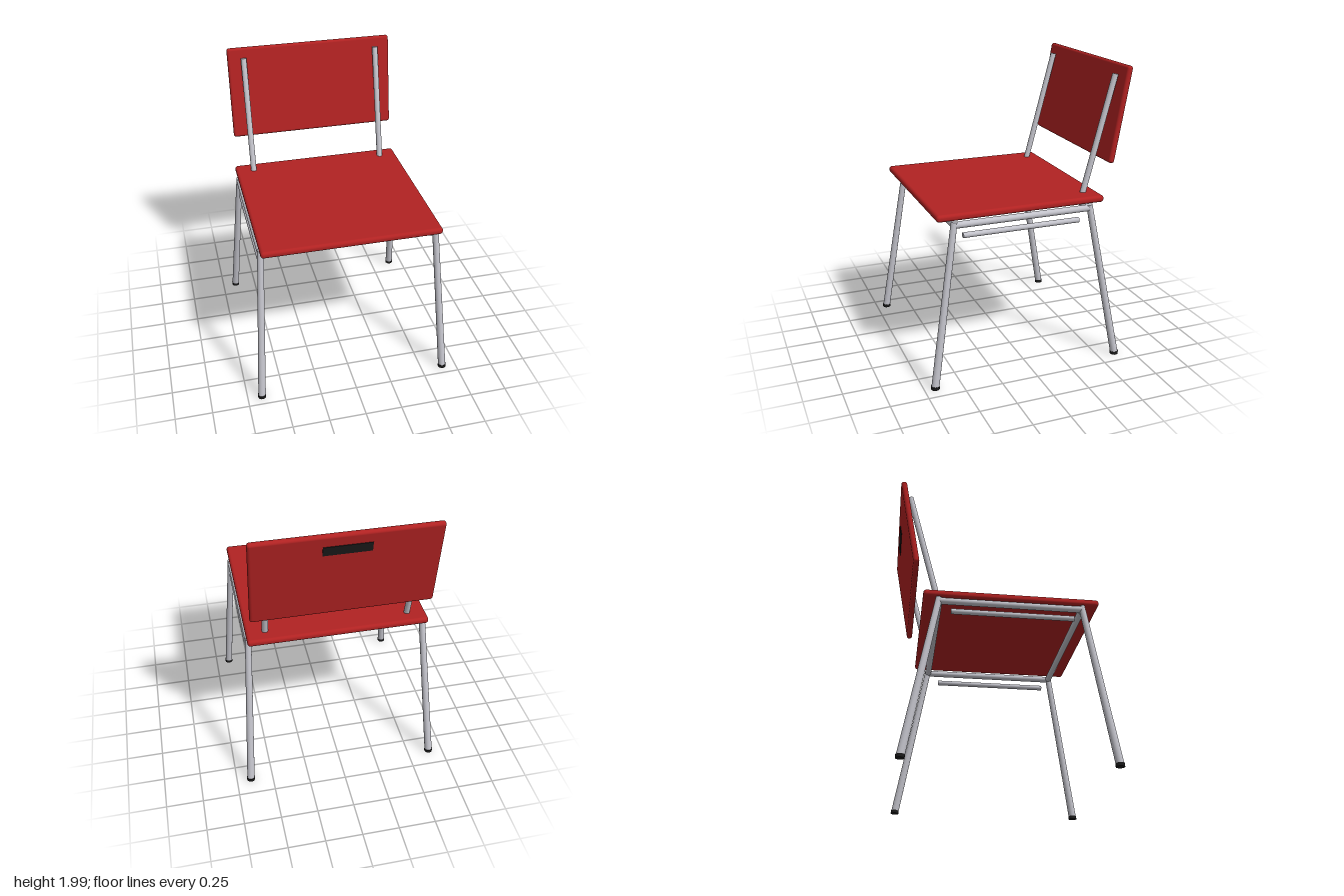
import * as THREE from 'three';
import { RoundedBoxGeometry } from 'three/addons/geometries/RoundedBoxGeometry.js';

const material = (name, color) => {
  const m = new THREE.MeshStandardMaterial({ color });
  m.name = name;
  return m;
};

export function createModel() {
  const red = material('red', 0xb22222);
  const metal = material('metal', 0xc4c4cc);
  const black = material('black', 0x1a1a1a);
  const chair = new THREE.Group();
  chair.name = 'chair';

  const add = (name, geometry, mat, parent = chair) => {
    const mesh = new THREE.Mesh(geometry, mat);
    mesh.name = name;
    parent.add(mesh);
    return mesh;
  };

  // Straight round bar between two points
  const bar = (name, from, to, rFrom, rTo = rFrom, mat = metal) => {
    const a = new THREE.Vector3(...from), b = new THREE.Vector3(...to);
    const dir = b.clone().sub(a);
    const mesh = add(name, new THREE.CylinderGeometry(rTo, rFrom, dir.length(), 20), mat);
    mesh.position.copy(a).add(b).multiplyScalar(0.5);
    mesh.quaternion.setFromUnitVectors(new THREE.Vector3(0, 1, 0), dir.normalize());
    return mesh;
  };

  // Seat panel
  add('seat', new RoundedBoxGeometry(1.2, 0.046, 1.15, 4, 0.02), red).position.set(0, 1.136, 0.05);

  // Tilted backrest with a dark grip on its rear face
  const back = new THREE.Group();
  back.name = 'backrest';
  back.position.set(0, 1.682, -0.632);
  back.rotation.x = -Math.PI / 18;
  chair.add(back);
  add('backPanel', new RoundedBoxGeometry(1.17, 0.64, 0.04, 4, 0.018), red, back);
  add('gripSlot', new THREE.BoxGeometry(0.3, 0.065, 0.008), black, back).position.set(0, 0.21, -0.02);

  const frontZ = 0.51, backZ = -0.423, railX = 0.585, railY = 1.083;
  for (const [side, s] of [['left', 1], ['right', -1]]) {
    // Splayed, tapered legs with black feet
    for (const [end, topZ, footZ] of [['Front', frontZ, 0.678], ['Back', backZ, -0.623]]) {
      const top = [s * railX, 1.105, topZ];
      const foot = [s * 0.652, 0.016, footZ];
      bar(side + end + 'Leg', foot, top, 0.026, 0.021);
      add(side + end + 'Foot', new THREE.CylinderGeometry(0.028, 0.028, 0.022, 20), black)
        .position.set(s * 0.652, 0.016, footZ);
    }
    // Side rail under the seat, with a thinner bar below it
    bar(side + 'Rail', [s * railX, railY, backZ], [s * railX, railY, frontZ], 0.022);
    bar(side + 'LowerBar', [s * 0.588, 1.011, -0.345], [s * 0.588, 1.011, 0.455], 0.018);
    // Backrest post
    bar(side + 'Post', [s * 0.475, 1.12, -0.418], [s * 0.475, 1.935, -0.635], 0.02);
  }

  // Cross rails
  bar('frontRail', [-railX, railY, frontZ], [railX, railY, frontZ], 0.022);
  bar('backRail', [-railX, railY, backZ], [railX, railY, backZ], 0.022);

  return chair;
}
